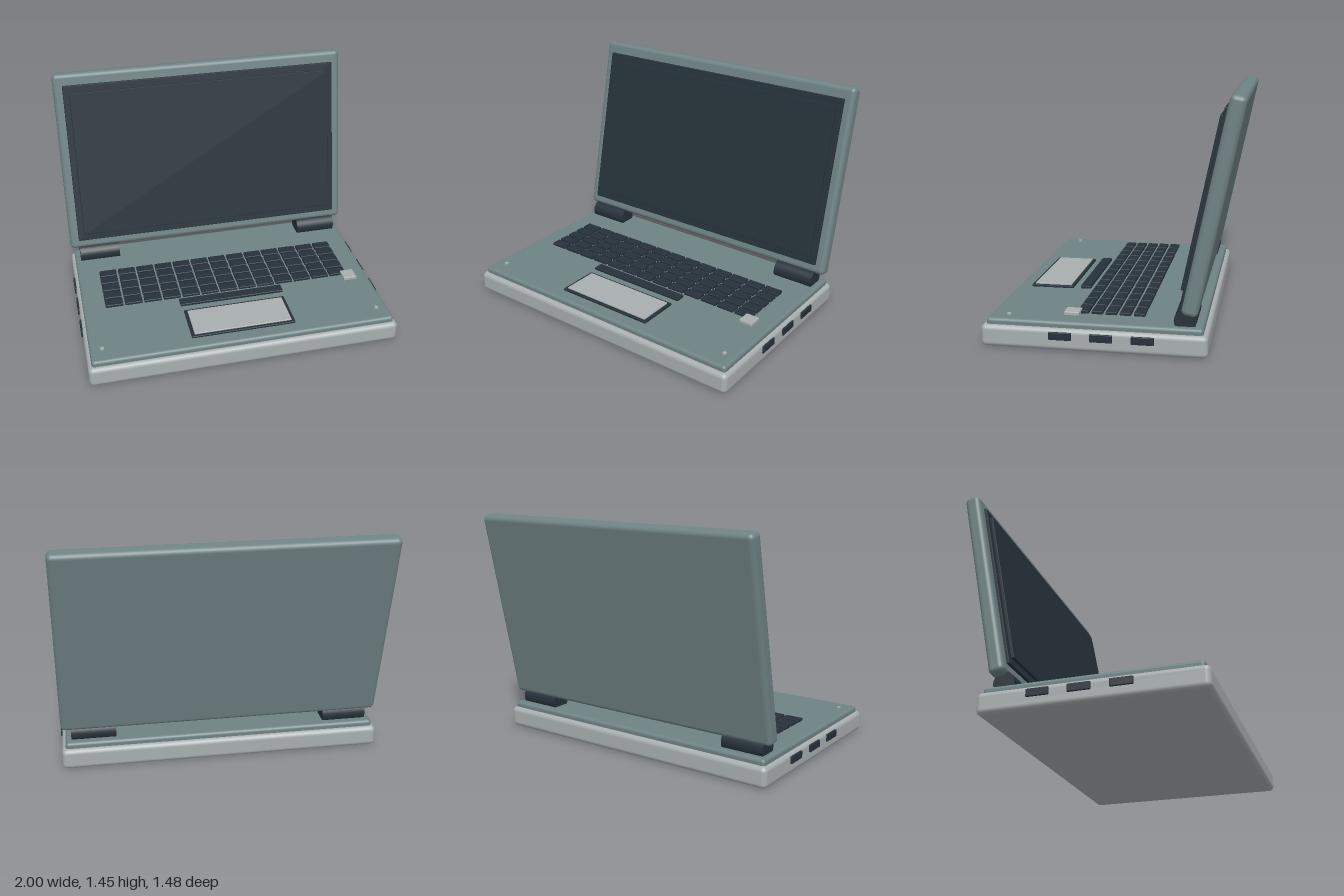
import * as THREE from 'three';
import { RoundedBoxGeometry } from 'three/addons/geometries/RoundedBoxGeometry.js';

const material = (name, color) => {
  const m = new THREE.MeshStandardMaterial({ color });
  m.name = name;
  return m;
};

export function createModel() {
  const silver = material('silver', 0xa8aeae);
  const slate = material('slate', 0x6e8284);
  const dark = material('dark navy', 0x26313a);

  const model = new THREE.Group();
  model.name = 'laptop';

  // Adds a softly rounded box of size (w, h, d) centred on (x, y, z)
  const addBox = (parent, name, mat, [w, h, d], [x, y, z], radius, segments = 1) => {
    const mesh = new THREE.Mesh(new RoundedBoxGeometry(w, h, d, segments, radius), mat);
    mesh.name = name;
    mesh.position.set(x, y, z);
    parent.add(mesh);
    return mesh;
  };

  // Base tray and the deck set into it
  addBox(model, 'base', silver, [1.98, 0.13, 1.3], [0, 0.065, 0.09], 0.03, 4);
  addBox(model, 'deck', slate, [1.934, 0.065, 1.243], [0, 0.1325, 0.089], 0.02, 4);

  // Keyboard: five rows of thirteen keys and a space bar
  const keyboard = new THREE.Group();
  keyboard.name = 'keyboard';
  model.add(keyboard);
  for (let row = 0; row < 5; row++) {
    for (let col = 0; col < 13; col++) {
      addBox(keyboard, 'key', dark, [0.115, 0.018, 0.066],
        [(col - 6) * 0.1275, 0.179, -0.154 + row * 0.0825], 0.004);
    }
  }
  addBox(keyboard, 'spaceBar', dark, [0.69, 0.018, 0.066], [0, 0.179, 0.27], 0.004);

  // Touchpad on its dark surround
  addBox(model, 'touchpadFrame', dark, [0.67, 0.014, 0.272], [0, 0.171, 0.488], 0.004);
  addBox(model, 'touchpad', silver, [0.63, 0.012, 0.236], [0, 0.18, 0.488], 0.004);

  // Power button
  addBox(model, 'powerButton', silver, [0.09, 0.026, 0.09], [0.83, 0.182, 0.232], 0.006, 2);

  // Paired parts: deck screws, side ports and hinge barrels
  for (const side of [-1, 1]) {
    const screw = new THREE.Mesh(new THREE.CylinderGeometry(0.013, 0.013, 0.014, 12), silver);
    screw.name = 'screw';
    screw.position.set(side * 0.89, 0.167, 0.597);
    model.add(screw);

    for (const z of [0.272, 0.037, -0.198]) {
      addBox(model, 'port', dark, [0.03, 0.045, 0.13], [side * 0.985, 0.088, z], 0.004);
    }

    const hinge = new THREE.Mesh(new THREE.CylinderGeometry(0.064, 0.064, 0.275, 28), dark);
    hinge.name = 'hinge';
    hinge.rotation.z = Math.PI / 2;
    hinge.position.set(side * 0.792, 0.197, -0.428);
    model.add(hinge);
  }

  // Lid leaning back, with bezel and screen stacked on its front
  const lid = new THREE.Group();
  lid.name = 'lid';
  lid.position.set(0, 0.842, -0.577);
  lid.rotation.x = -0.205;
  model.add(lid);
  addBox(lid, 'lidShell', slate, [1.98, 1.234, 0.094], [0, 0, 0], 0.03, 4);
  addBox(lid, 'bezel', dark, [1.86, 1.094, 0.03], [0, -0.008, 0.049], 0.005);
  addBox(lid, 'screen', dark, [1.78, 0.998, 0.03], [0, -0.009, 0.065], 0.004);

  return model;
}
